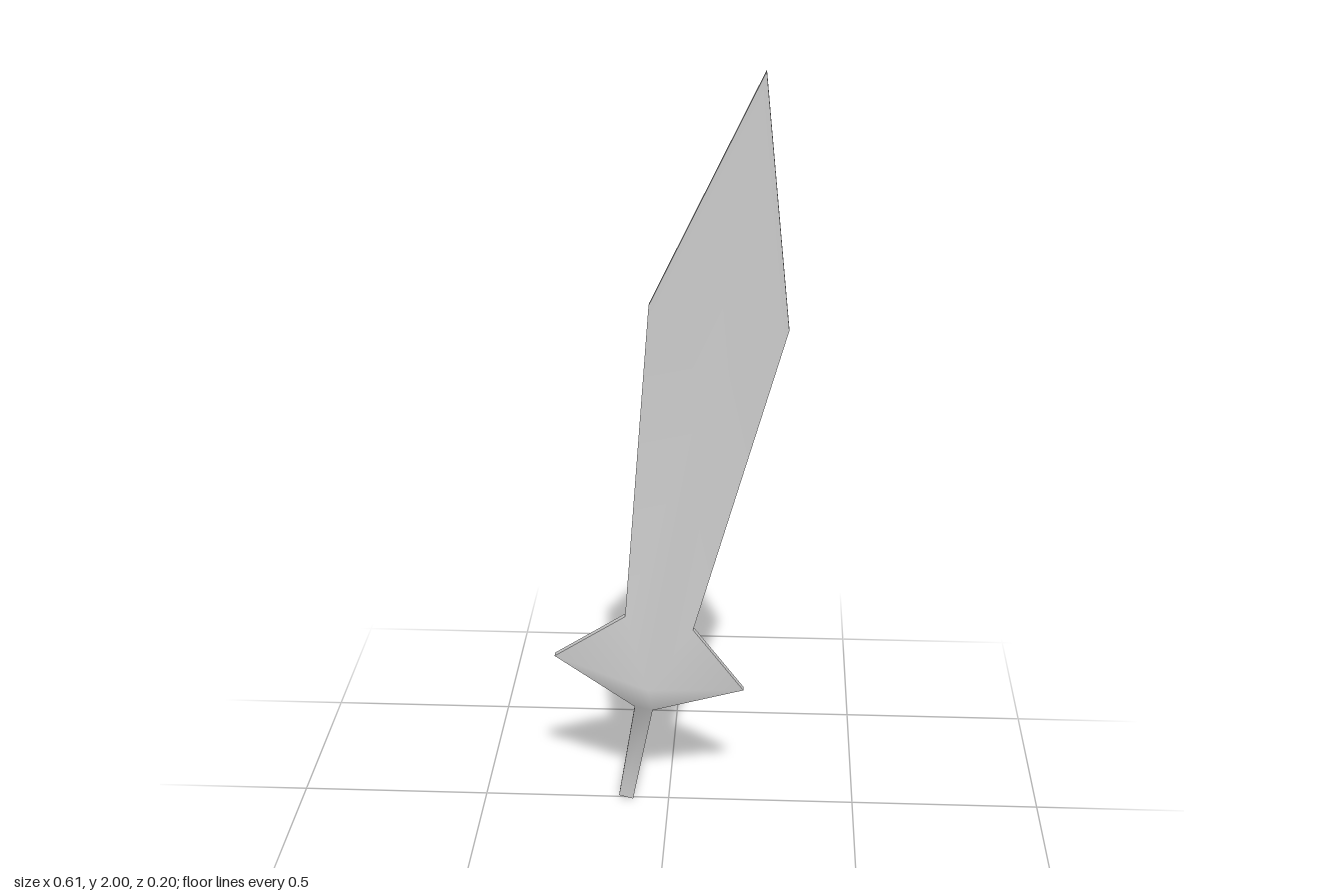
import * as THREE from 'three';

const T = 0.01; // half thickness of the sheet

// Silhouette, counter-clockwise seen from the front
const outline = [
  [-0.135, 0.01], [-0.097, 0], [-0.042, 0.28],   // tang
  [0.2, 0.34], [0.065, 0.515],                   // left guard point
  [0.302, 1.35], [0.235, 2], [-0.05, 1.41],      // blade tip
  [-0.115, 0.55], [-0.304, 0.43], [-0.09, 0.29], // right guard point
];
const PEAK = 11, RIDGE = 12;

// Triangles of one side: tang, boss fan around the peak, blade fan around the ridge end
const faces = [
  0, 1, 2, 0, 2, 10,
  PEAK, 10, 2, PEAK, 2, 3, PEAK, 3, 4, PEAK, 4, RIDGE,
  RIDGE, 4, 5, RIDGE, 5, 6, RIDGE, 6, 7, RIDGE, 7, 8,
  PEAK, RIDGE, 8, PEAK, 8, 9, PEAK, 9, 10,
];

const material = new THREE.MeshStandardMaterial({ color: 0xcccccc, side: THREE.DoubleSide });

// Depth of an outline point; the tang is a little thicker in front below the boss
function depth(i, side) {
  return side > 0 && (i === 2 || i === 10) ? 0.022 : side * T;
}

function makeMesh(name, positions, index) {
  const geometry = new THREE.BufferGeometry();
  geometry.setAttribute('position', new THREE.Float32BufferAttribute(positions, 3));
  geometry.setIndex(index);
  geometry.computeVertexNormals();
  const mesh = new THREE.Mesh(geometry, material);
  mesh.name = name;
  return mesh;
}

// Smooth side with a raised boss running out into the blade
function makeSide(name, side) {
  const positions = outline.flatMap(([x, y], i) => [x, y, depth(i, side)]);
  positions.push(-0.05, 0.38, side * 0.1, 0.1, 1.19, side * T);
  return makeMesh(name, positions, side > 0 ? faces : [...faces].reverse());
}

// Narrow flat edge joining both sides
function makeRim() {
  const positions = [], index = [];
  outline.forEach(([x, y], i) => {
    const j = (i + 1) % outline.length;
    const [u, v] = outline[j];
    const n = i * 4;
    positions.push(x, y, depth(i, -1), u, v, depth(j, -1), u, v, depth(j, 1), x, y, depth(i, 1));
    index.push(n, n + 1, n + 2, n, n + 2, n + 3);
  });
  return makeMesh('edge', positions, index);
}

export function createModel() {
  const sword = new THREE.Group();
  sword.name = 'swordBlade';
  sword.add(makeSide('frontFace', 1), makeSide('backFace', -1), makeRim());
  return sword;
}
